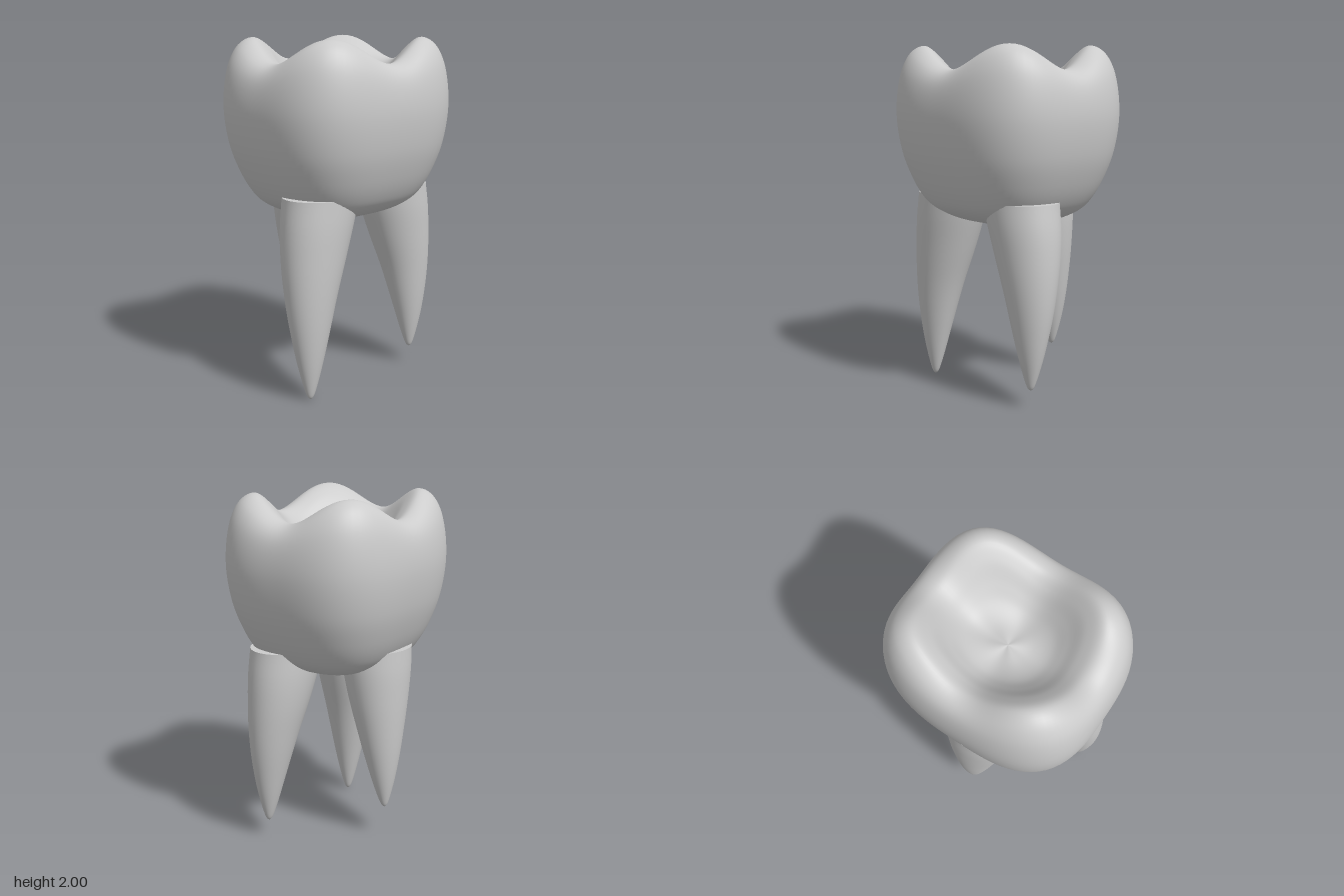
import * as THREE from 'three';

const material = new THREE.MeshStandardMaterial({ color: 0xcccccc, roughness: 0.6 });

// Skin a stack of closed rings, ordered bottom to top; point(i, angle) returns [x, y, z]
function loft(name, rings, sides, point) {
  const pos = [], idx = [];
  for (let i = 0; i < rings; i++) {
    for (let j = 0; j < sides; j++) pos.push(...point(i, (j / sides) * Math.PI * 2));
  }
  for (let i = 0; i < rings - 1; i++) {
    for (let j = 0; j < sides; j++) {
      const k = (j + 1) % sides;
      const a = i * sides + j, b = a + sides, c = i * sides + k, d = c + sides;
      idx.push(a, b, c, b, d, c);
    }
  }
  const geo = new THREE.BufferGeometry();
  geo.setAttribute('position', new THREE.Float32BufferAttribute(pos, 3));
  geo.setIndex(idx);
  geo.computeVertexNormals();
  const mesh = new THREE.Mesh(geo, material);
  mesh.name = name;
  return mesh;
}

const smooth = (pts, n) =>
  new THREE.CatmullRomCurve3(pts.map(p => new THREE.Vector3(...p)), false, 'centripetal').getPoints(n);

// Rounded-rectangle crown whose upper rings lift into four cusps around a basin
function makeCrown() {
  // [width scale, height, cusp lift]
  const profile = smooth([
    [0, 0.99, 0], [0.3, 0.99, 0], [0.55, 1.03, 0], [0.7, 1.085, 0], [0.785, 1.15, 0],
    [0.87, 1.25, 0], [0.955, 1.4, 0], [1, 1.59, 0.008], [0.985, 1.72, 0.04],
    [0.94, 1.8, 0.08], [0.86, 1.848, 0.117], [0.73, 1.865, 0.135], [0.6, 1.825, 0.115],
    [0.47, 1.76, 0.075], [0.35, 1.715, 0.04], [0.2, 1.695, 0.015], [0, 1.705, 0],
  ], 90);
  const power = 3;
  return loft('crown', profile.length, 96, (i, t) => {
    const { x: s, y, z: lift } = profile[i];
    const c = Math.cos(t), n = Math.sin(t);
    const r = s * (Math.abs(c) ** power + Math.abs(n) ** power) ** (-1 / power);
    return [0.613 * r * c, y + lift * Math.sin(2 * t) ** 2, 0.534 * r * n];
  });
}

// Tapered root, flat on top and rounded at the tip; path lists [x, z] centres from top to tip
function makeRoot(name, tipY, path, widthX, widthZ) {
  const topY = 1.147;
  // [distance from top to tip, radius fraction]
  const taper = smooth([
    [1, 0, 0], [0.985, 0.08, 0], [0.95, 0.15, 0], [0.83, 0.32, 0], [0.65, 0.525, 0],
    [0.48, 0.69, 0], [0.3, 0.85, 0], [0.14, 0.955, 0], [0, 1, 0],
  ], 40);
  // The repeated edge ring keeps the flat top sharp
  const rows = [...taper, taper[taper.length - 1], { x: 0, y: 0 }];
  const axis = new THREE.CatmullRomCurve3(path.map(([x, z]) => new THREE.Vector3(x, 0, z)), false, 'catmullrom');
  return loft(name, rows.length, 40, (i, t) => {
    const { x: d, y: r } = rows[i];
    const c = axis.getPoint(THREE.MathUtils.clamp(d, 0, 1));
    return [
      c.x + widthX * r * Math.cos(t),
      topY + (tipY - topY) * d,
      c.z + widthZ * r * Math.sin(t),
    ];
  });
}

export function createModel() {
  const model = new THREE.Group();
  model.name = 'molarTooth';
  model.add(makeCrown());

  // Front pair, the right one a little longer
  const frontPath = side => [[0.288, 0.157], [0.346, 0.167], [0.393, 0.185], [0.415, 0.2], [0.422, 0.208]]
    .map(([x, z]) => [side * x, z]);
  model.add(makeRoot('frontRightRoot', 0, frontPath(-1), 0.23, 0.196));
  model.add(makeRoot('frontLeftRoot', 0.1, frontPath(1), 0.23, 0.196));

  // Single back root
  const backPath = [[0, -0.259], [0.012, -0.282], [0.025, -0.31], [0.033, -0.334], [0.035, -0.35]];
  model.add(makeRoot('backRoot', 0.18, backPath, 0.222, 0.196));
  return model;
}
